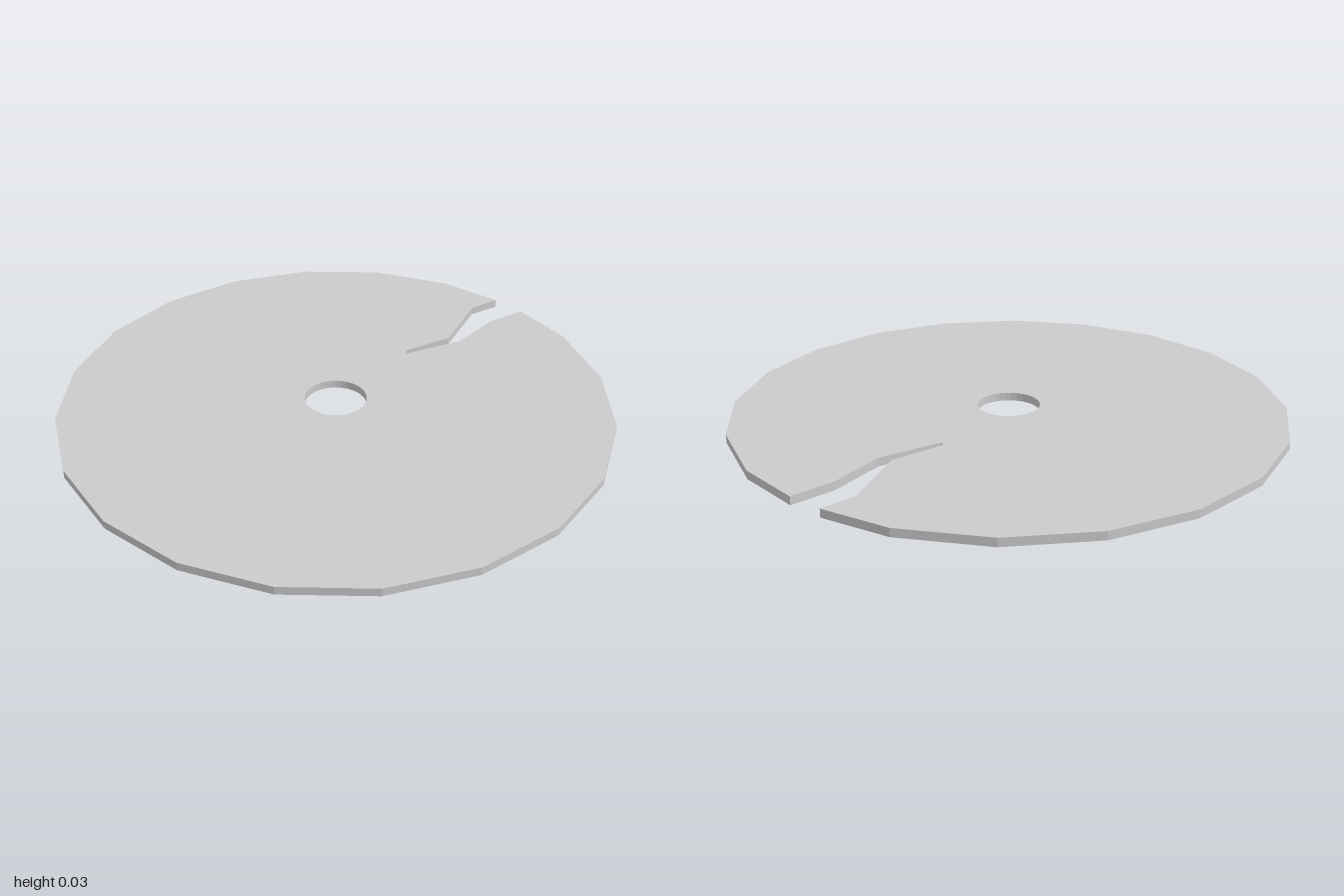
import * as THREE from 'three';

const SIDES = 20;
const THICKNESS = 0.03;
const SHIFT = 0.005; // the slot trims the +x tip, so the disc sits slightly off centre

export function createModel() {
  const group = new THREE.Group();
  group.name = 'slottedDisc';

  // Twenty-sided rim, leaving out the corner where the slot opens
  const points = [];
  for (let i = 1; i < SIDES; i++) {
    const a = (i / SIDES) * Math.PI * 2;
    points.push(new THREE.Vector2(Math.cos(a) + SHIFT, Math.sin(a)));
  }

  // Jagged slot, from the front lip inwards and back out (x, -z)
  const slot = [
    [0.995, -0.065], [0.842, -0.033], [0.633, -0.048], [0.414, 0.032],
    [0.428, 0.05], [0.62, -0.002], [0.872, 0.091], [0.995, 0.065],
  ];
  for (const [x, y] of slot) points.push(new THREE.Vector2(x, y));

  // Round centre hole
  const shape = new THREE.Shape(points);
  const hole = new THREE.Path();
  hole.absarc(SHIFT, 0, 0.113, 0, Math.PI * 2, true);
  shape.holes.push(hole);

  const geometry = new THREE.ExtrudeGeometry(shape, {
    depth: THICKNESS, bevelEnabled: false, curveSegments: 16,
  });
  geometry.rotateX(-Math.PI / 2);

  const disc = new THREE.Mesh(
    geometry,
    new THREE.MeshStandardMaterial({ color: 0xcccccc, flatShading: true }),
  );
  disc.name = 'disc';
  group.add(disc);
  return group;
}
